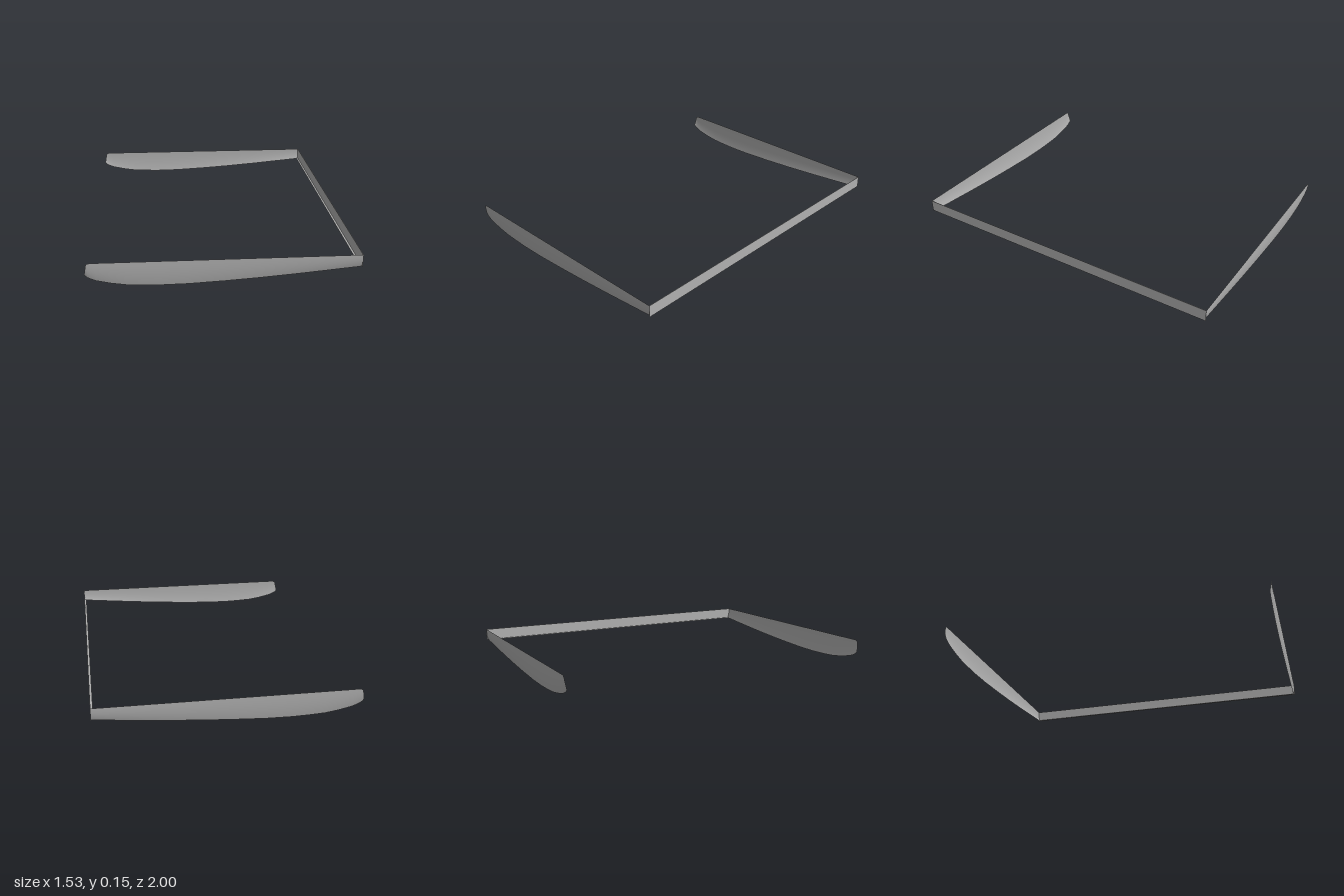
import * as THREE from 'three';

// Stations along a side skirt: x, lower edge y, upper edge y
const STATIONS = [
  [-0.763, 0.074, 0.082], [-0.754, 0.064, 0.134], [-0.747, 0.059, 0.144], [-0.733, 0.051, 0.148],
  [-0.7, 0.038, 0.148], [-0.62, 0.02, 0.148], [-0.54, 0.008, 0.148], [-0.45, 0.003, 0.148],
  [-0.35, 0, 0.148], [-0.2, 0.002, 0.148], [0, 0.012, 0.148], [0.2, 0.025, 0.148],
  [0.4, 0.041, 0.148], [0.6, 0.059, 0.148], [0.73, 0.071, 0.148], [0.763, 0.075, 0.148],
];
const TOP = 0.148, CURL = 0.011, ROWS = 10;

// Curved sheet, upright at the top and curling inward along its lower edge
function skirtGeometry(side) {
  const pos = [], index = [];
  for (const [x, low, high] of STATIONS) {
    for (let j = 0; j <= ROWS; j++) {
      const y = high + (low - high) * (j / ROWS);
      const t = (TOP - y) / (TOP - low);
      pos.push(x, y, side * (1 - CURL * t ** 2.5));
    }
  }
  for (let i = 0; i < STATIONS.length - 1; i++) {
    for (let j = 0; j < ROWS; j++) {
      const a = i * (ROWS + 1) + j, b = a + 1, c = a + ROWS + 1, d = c + 1;
      if (side > 0) index.push(a, b, c, b, d, c);
      else index.push(a, c, b, b, c, d);
    }
  }
  const geo = new THREE.BufferGeometry();
  geo.setAttribute('position', new THREE.Float32BufferAttribute(pos, 3));
  geo.setIndex(index);
  geo.computeVertexNormals();
  return geo;
}

export function createModel() {
  const group = new THREE.Group();
  const grey = new THREE.MeshStandardMaterial({ color: 0xb0b0b0, side: THREE.DoubleSide });
  grey.name = 'grey';

  const add = (name, geo, x = 0, y = 0, z = 0) => {
    const mesh = new THREE.Mesh(geo, grey);
    mesh.name = name;
    mesh.position.set(x, y, z);
    group.add(mesh);
  };

  // Two mirrored side skirts
  add('frontSkirt', skirtGeometry(1));
  add('backSkirt', skirtGeometry(-1));

  // Cross strip: thin upright wall with a narrow inward lip at its foot
  add('crossWall', new THREE.BoxGeometry(0.002, 0.073, 2), 0.763, 0.1115, 0);
  add('crossLip', new THREE.BoxGeometry(0.013, 0.002, 1.98), 0.7565, 0.076, 0);

  return group;
}
